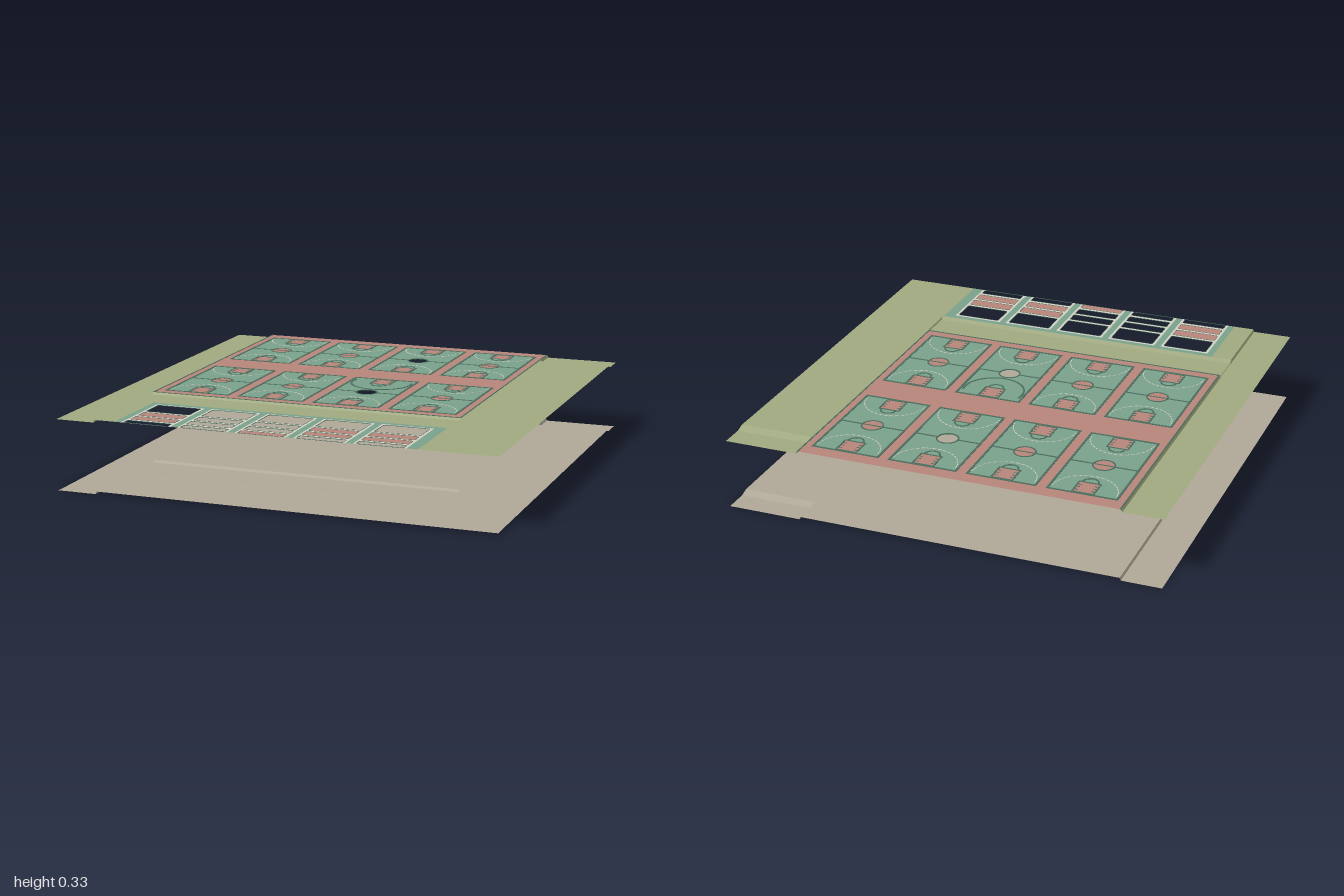
import * as THREE from 'three';
import { mergeGeometries } from 'three/addons/utils/BufferGeometryUtils.js';

const LOW = 0.32;           // height of the upper sheet's lowest ground
const RISE = 0.012;         // raised ground above the lowest ground
const TOP = LOW + RISE;

function material(name, color) {
  const m = new THREE.MeshStandardMaterial({ color, side: THREE.DoubleSide });
  m.name = name;
  return m;
}

// Ground relief shared by both sheets
function relief(x, z) {
  if (x <= -0.82) return 0;
  if (x >= 0.66) return z <= -0.89 ? 0 : RISE;
  return z > 0.43 && z < 0.59 ? 0.004 : RISE;
}

const XS = [-1, -0.82, -0.815, -0.72, 0.655, 0.66, 1];
const ZS = [-1, -0.89, -0.85, 0.42, 0.435, 0.58, 0.61, 1];

// Uneven grid of quads, leaving out cells whose centre is skipped
function ground(baseY, skip, edge = null) {
  const pos = [];
  for (let i = 0; i < XS.length - 1; i++) {
    for (let j = 0; j < ZS.length - 1; j++) {
      const [x0, x1, z0, z1] = [XS[i], XS[i + 1], ZS[j], ZS[j + 1]];
      if (skip((x0 + x1) / 2, (z0 + z1) / 2)) continue;
      const v = (x, z) => [x, baseY + relief(x, z), z];
      pos.push(...v(x0, z0), ...v(x0, z1), ...v(x1, z1), ...v(x0, z0), ...v(x1, z1), ...v(x1, z0));
    }
  }
  const g = new THREE.BufferGeometry();
  g.setAttribute('position', new THREE.Float32BufferAttribute(pos, 3));
  g.computeVertexNormals();
  return g;
}

// Shapes are drawn in plan with shape y = -z
function rect(x0, z0, x1, z1, r = 0, S = THREE.Shape) {
  const s = new S();
  if (!r) {
    s.moveTo(x0, -z1).lineTo(x1, -z1).lineTo(x1, -z0).lineTo(x0, -z0).closePath();
    return s;
  }
  s.moveTo(x0 + r, -z1).lineTo(x1 - r, -z1).quadraticCurveTo(x1, -z1, x1, -z1 + r);
  s.lineTo(x1, -z0 - r).quadraticCurveTo(x1, -z0, x1 - r, -z0);
  s.lineTo(x0 + r, -z0).quadraticCurveTo(x0, -z0, x0, -z0 - r);
  s.lineTo(x0, -z1 + r).quadraticCurveTo(x0, -z1, x0 + r, -z1);
  return s;
}

function disc(x, z, r) {
  return new THREE.Shape().absarc(x, -z, r, 0, Math.PI * 2);
}

// Band of an arc; angles run in plan, with 90 degrees towards +z
function arcBand(x, z, r, w, a0, a1) {
  const s = new THREE.Shape();
  s.absarc(x, -z, r + w / 2, -a0, -a1, true);
  s.absarc(x, -z, r - w / 2, -a1, -a0, false);
  return s;
}

function frame(x0, z0, x1, z1, w) {
  const s = rect(x0, z0, x1, z1);
  s.holes.push(rect(x0 + w, z0 + w, x1 - w, z1 - w));
  return s;
}

function ring(x, z, r, w) {
  const s = disc(x, z, r + w / 2);
  s.holes.push(disc(x, z, r - w / 2));
  return s;
}

const flat = (shapes, y = TOP) => new THREE.ShapeGeometry(shapes, 24).rotateX(-Math.PI / 2).translate(0, y, 0);

// Thin plate set through the surface so it shows on both faces
const plate = (shapes, d = 0.003) =>
  new THREE.ExtrudeGeometry(shapes, { depth: d, bevelEnabled: false, curveSegments: 16 })
    .rotateX(-Math.PI / 2).translate(0, TOP - d / 2, 0);

export function createModel() {
  const model = new THREE.Group();
  const grass = material('grass green', 0xa0aa80);
  const green = material('court green', 0x7aa18b);
  const red = material('court red', 0xb7857a);
  const dark = material('dark green line', 0x4c6e5e);
  const pale = material('pale line', 0xd0d0c4);
  const earth = material('earth', 0xb0a797);

  const add = (parent, name, geometry, mat) => {
    const mesh = new THREE.Mesh(geometry, mat);
    mesh.name = name;
    parent.add(mesh);
  };

  // Lower earth sheet and upper lawn around the two playing areas
  add(model, 'earthSheet', ground(0, () => false), earth);
  const inCourts = (x, z) => x > -0.815 && x < 0.655 && z < 0.42;
  const inTennis = (x, z) => x > -0.72 && x < 0.655 && z > 0.61;
  add(model, 'lawn', ground(LOW, (x, z) => inCourts(x, z) || inTennis(x, z)), grass);

  // Red paving with an opening for every ball court
  const paving = rect(-0.815, -1, 0.655, 0.42);
  const HW = 0.158, HL = 0.283, KEY = 0.047, KEYLEN = 0.112, W = 0.01;
  [-0.65, 0.085].forEach((cz, row) => {
    [-0.62, -0.26, 0.1, 0.46].forEach((cx, col) => {
      const court = new THREE.Group();
      court.name = `ballCourt${row * 4 + col + 1}`;
      model.add(court);
      paving.holes.push(rect(cx - HW, cz - HL, cx + HW, cz + HL));

      const floor = rect(cx - HW, cz - HL, cx + HW, cz + HL);
      const redParts = [];
      const lines = [frame(cx - HW, cz - HL, cx + HW, cz + HL, W), ring(cx, cz, 0.048, 0.007)];
      const marks = [];
      floor.holes.push(disc(cx, cz, 0.048));
      // The third column has open centre circles
      if (col !== 2) {
        redParts.push(disc(cx, cz, 0.048));
        lines.push(rect(cx - 0.048, cz - 0.003, cx + 0.048, cz + 0.003));
      }
      for (const s of [-1, 1]) {
        lines.push(rect(cx + (s < 0 ? -HW : 0.048), cz - 0.004, cx + (s < 0 ? -0.048 : HW), cz + 0.004));

        // Key, free-throw arc and lane ticks at each end
        const end = cz + s * (HL - W), line = cz + s * KEYLEN_AT(HL, KEYLEN);
        const [z0, z1] = [Math.min(end, line), Math.max(end, line)];
        floor.holes.push(rect(cx - KEY, z0, cx + KEY, z1));
        redParts.push(rect(cx - KEY, z0, cx + KEY, z1));
        lines.push(frame(cx - KEY - 0.004, z0, cx + KEY + 0.004, z1, 0.007));
        const sweep = s < 0 ? [0, Math.PI] : [Math.PI, Math.PI * 2];
        lines.push(arcBand(cx, line, 0.035, 0.008, ...sweep));
        for (const t of [0.035, 0.06, 0.082]) {
          const tz = cz + s * (HL - t);
          for (const m of [-1, 1]) {
            const tx = cx + m * (KEY - 0.011);
            lines.push(rect(tx - 0.007, tz - 0.002, tx + 0.007, tz + 0.002));
          }
        }

        // Outer shooting arc: one solid dark, the others dashed and pale
        if (row === 1 && col === 2 && s < 0) {
          lines.push(arcBand(cx, cz - HL + 0.08, 0.14, 0.009, -0.25, Math.PI + 0.25));
        } else {
          const n = 18;
          for (let k = 0; k < n; k++) {
            const a = sweep[0] + ((k + 0.15) / n) * Math.PI;
            marks.push(arcBand(cx, cz + s * (HL - 0.027), 0.143, 0.004, a, a + (0.7 * Math.PI) / n));
          }
        }
      }
      add(court, 'courtFloor', flat(floor), green);
      add(court, 'redAreas', flat(redParts), red);
      add(court, 'courtLines', plate(lines), dark);
      add(court, 'shootingArcs', plate(marks), pale);
    });
  });
  add(model, 'paving', flat(paving), red);
  // Dark kerb along the paving's free sides
  add(model, 'pavingKerb', plate([
    rect(-0.815, -1, -0.809, 0.42), rect(0.649, -1, 0.655, 0.42), rect(-0.809, 0.413, 0.649, 0.42),
  ]), dark);

  // Small courts: green surround, pale frames, some cells open and some red
  const surround = rect(-0.72, 0.61, 0.655, 1);
  const rows = [[0.65, 0.78], [0.795, 0.86], [0.875, 0.935], [0.952, 0.999]];
  const redRows = [[1, 2], [], [3], [1, 2], [1, 2]];
  const small = new THREE.Group();
  small.name = 'smallCourts';
  model.add(small);
  const frames = [], cells = [], rims = [];
  redRows.forEach((reds, i) => {
    const cx = -0.573 + i * 0.2655;
    surround.holes.push(rect(cx - 0.117, 0.638, cx + 0.117, 0.9999));
    const f = rect(cx - 0.117, 0.638, cx + 0.117, 0.9999);
    rows.forEach(([z0, z1], r) => {
      const cell = () => rect(cx - 0.105, z0, cx + 0.105, z1, 0.01);
      f.holes.push(cell());
      if (reds.includes(r)) cells.push(cell());
      const rim = cell();
      rim.holes.push(rect(cx - 0.103, z0 + 0.002, cx + 0.103, z1 - 0.002, 0.009));
      rims.push(rim);
    });
    frames.push(f);
  });
  add(small, 'surround', flat(surround), green);
  add(small, 'paleFrames', flat(frames), pale);
  add(small, 'redCells', flat(cells), red);
  add(small, 'cellRims', mergeGeometries(rims.map((r) => plate(r, 0.002))), dark);
  return model;
}

// Distance from the court's middle to the free-throw line
function KEYLEN_AT(halfLength, keyLength) {
  return halfLength - keyLength;
}
